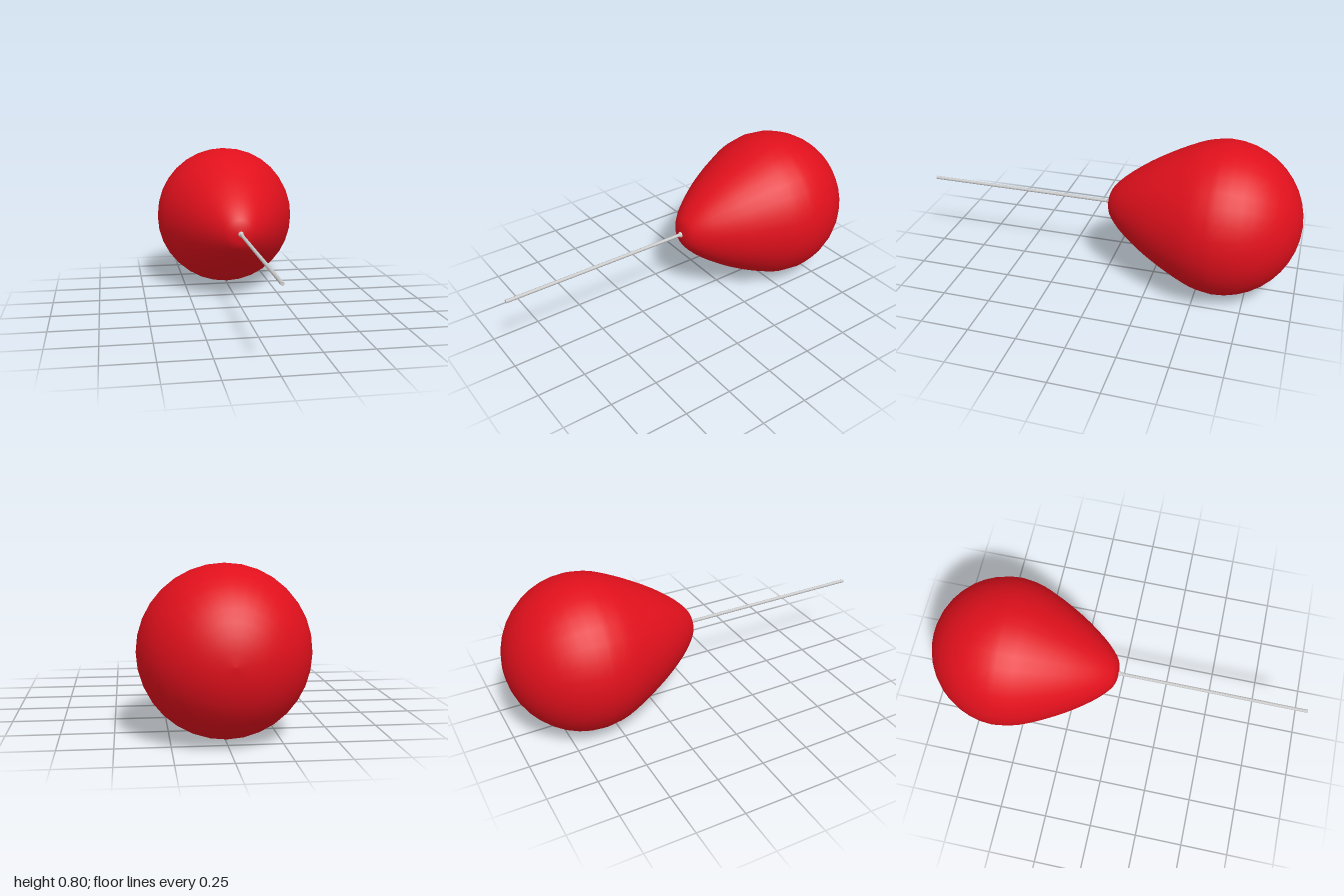
import * as THREE from 'three';

const RADIUS = 0.398;

function addPart(group, name, geometry, color, z) {
  const mesh = new THREE.Mesh(geometry, new THREE.MeshStandardMaterial({ color }));
  mesh.name = name;
  mesh.position.z = z;
  group.add(mesh);
  return mesh;
}

export function createModel() {
  const model = new THREE.Group();
  model.name = 'balloonOnStick';

  // Balloon profile: (radius, distance behind the neck), tapered front and round back
  const taper = new THREE.SplineCurve([
    [0, 0], [0.05, 0.008], [0.092, 0.03], [0.158, 0.095], [0.235, 0.2],
    [0.294, 0.3], [0.344, 0.4], [0.383, 0.5], [RADIUS, 0.6],
  ].map(([r, d]) => new THREE.Vector2(r, d)));
  const profile = taper.getPoints(20);
  const backSteps = 10;
  for (let i = 1; i <= backSteps; i++) {
    const a = (i / backSteps) * Math.PI / 2;
    profile.push(new THREE.Vector2(Math.max(0, RADIUS * Math.cos(a)), 0.6 + 0.4 * Math.sin(a)));
  }
  profile[0].x = 0;
  profile[profile.length - 1].x = 0;
  const balloon = new THREE.LatheGeometry(profile, 32);
  balloon.rotateX(-Math.PI / 2);
  addPart(model, 'balloon', balloon, 0xe0101c, 0);

  // Small knot at the neck
  addPart(model, 'knot', new THREE.SphereGeometry(0.015, 16, 10), 0xcccccc, 0);

  // Straight stick running forward from the neck
  const stick = new THREE.CylinderGeometry(0.009, 0.009, 1, 8);
  stick.rotateX(Math.PI / 2);
  addPart(model, 'stick', stick, 0xcccccc, 0.5);

  model.position.y = 0.4;
  return model;
}
